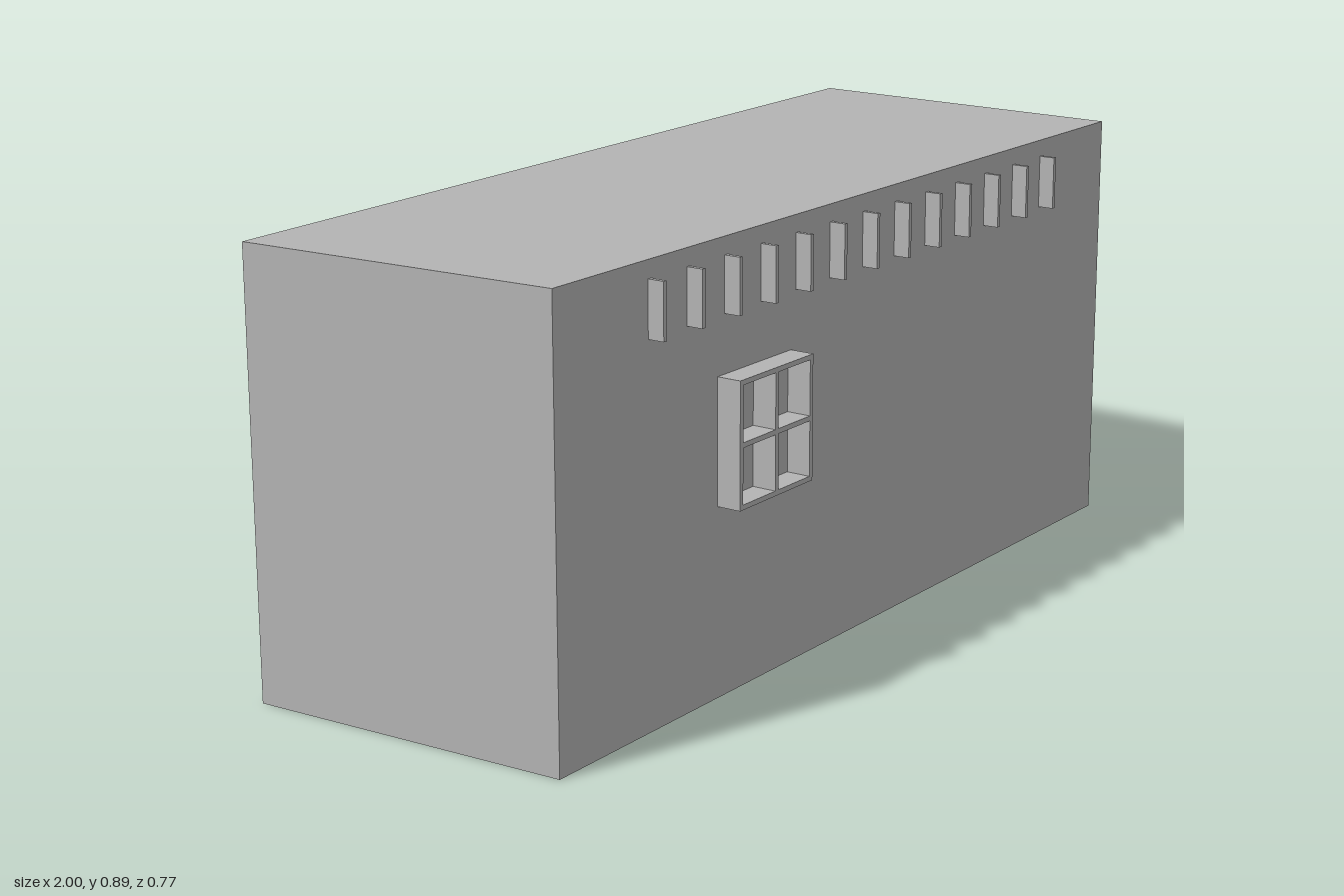
import * as THREE from 'three';

export function createModel() {
  const model = new THREE.Group();
  const grey = new THREE.MeshStandardMaterial({ color: 0xb3b3b3, side: THREE.DoubleSide });
  grey.name = 'plain grey';

  const addBox = (parent, name, w, h, d, x, y, z) => {
    const mesh = new THREE.Mesh(new THREE.BoxGeometry(w, h, d), grey);
    mesh.name = name;
    mesh.position.set(x, y, z);
    parent.add(mesh);
  };

  // Building shell: a box skewed to an irregular plan, open underneath
  const height = 0.89;
  const plan = {
    backRight: [-1, -0.352], backLeft: [1, -0.387],
    frontRight: [-0.965, 0.33], frontLeft: [0.975, 0.345],
  };
  const shell = new THREE.BoxGeometry(2, height, 1);
  const pos = shell.attributes.position;
  for (let i = 0; i < pos.count; i++) {
    const corner = (pos.getZ(i) > 0 ? 'front' : 'back') + (pos.getX(i) > 0 ? 'Left' : 'Right');
    const [x, z] = plan[corner];
    pos.setXYZ(i, x, pos.getY(i) + height / 2, z);
  }
  const faces = Array.from(shell.index.array);
  faces.splice(18, 6); // drop the floor
  shell.setIndex(faces);
  shell.clearGroups();
  shell.computeVertexNormals();
  const walls = new THREE.Mesh(shell, grey);
  walls.name = 'wallsAndRoof';
  model.add(walls);

  // Everything on the facade follows the slight slant of the front wall
  const facade = new THREE.Group();
  facade.name = 'facade';
  facade.position.z = 0.3375;
  facade.rotation.y = -Math.atan2(0.015, 1.94);
  model.add(facade);

  // Row of small upright fins below the roof edge
  for (let i = 0; i < 13; i++) {
    addBox(facade, 'fin', 0.009, 0.11, 0.034, -0.692 + i * 0.1163, 0.8, 0.017);
  }

  // Four-pane window frame
  const frame = new THREE.Group();
  frame.name = 'windowFrame';
  frame.position.set(-0.366, 0.505, 0.0255);
  facade.add(frame);
  const bar = 0.01, depth = 0.051, w = 0.24, h = 0.25;
  for (const s of [-1, 1]) {
    addBox(frame, 'frameSide', bar, h, depth, s * (w - bar) / 2, 0, 0);
    addBox(frame, 'frameRail', w - 2 * bar, bar, depth, 0, s * (h - bar) / 2, 0);
    addBox(frame, 'crossbar', (w - 3 * bar) / 2, bar, depth, s * (w - bar) / 4, 0, 0);
  }
  addBox(frame, 'mullion', bar, h - 2 * bar, depth, 0, 0, 0);

  return model;
}
